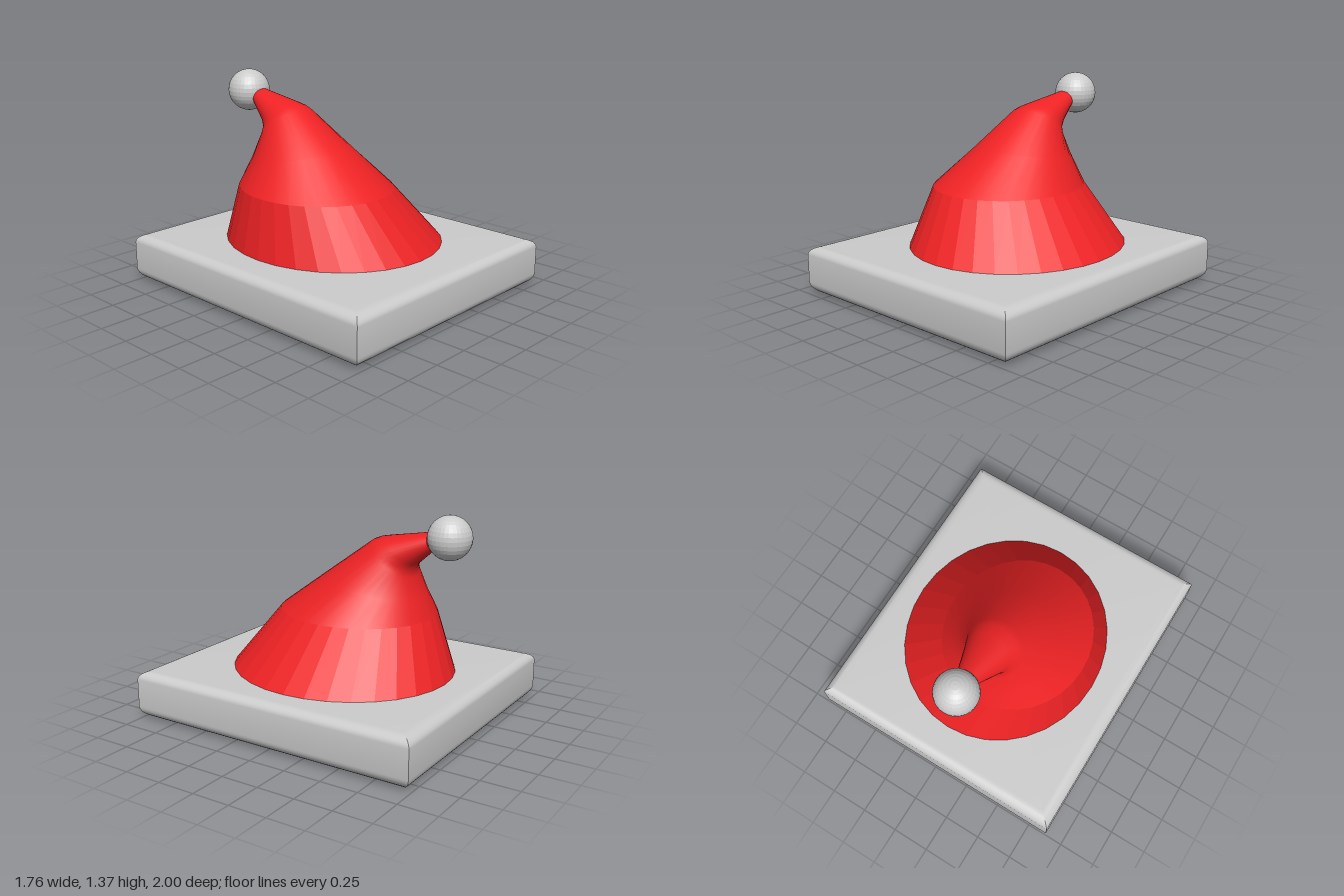
import * as THREE from 'three';
import { toCreasedNormals } from 'three/addons/utils/BufferGeometryUtils.js';

// Joins rings of points into a closed skin; optional end caps fan from the ring centres.
function loft(rings, { capStart = false, capEnd = false } = {}) {
  const n = rings[0].length;
  const pos = rings.flat().flatMap((p) => [p.x, p.y, p.z]);
  const index = [];
  for (let r = 0; r < rings.length - 1; r++) {
    for (let i = 0; i < n; i++) {
      const a = r * n + i, b = r * n + ((i + 1) % n);
      index.push(a, b, b + n, a, b + n, a + n);
    }
  }
  const cap = (r, flip) => {
    const c = new THREE.Vector3();
    rings[r].forEach((p) => c.addScaledVector(p, 1 / n));
    const ci = pos.length / 3;
    pos.push(c.x, c.y, c.z);
    for (let i = 0; i < n; i++) {
      const a = r * n + i, b = r * n + ((i + 1) % n);
      index.push(ci, flip ? b : a, flip ? a : b);
    }
  };
  if (capStart) cap(0, true);
  if (capEnd) cap(rings.length - 1, false);
  const g = new THREE.BufferGeometry();
  g.setAttribute('position', new THREE.Float32BufferAttribute(pos, 3));
  g.setIndex(index);
  g.computeVertexNormals();
  return g;
}

// Tilted ellipse through a front and a back point (z, y), with half width rx about x = cx.
function hatRing([cx, rx, zf, yf, zb, yb], sides = 32) {
  return Array.from({ length: sides }, (_, i) => {
    const t = (i / sides) * Math.PI * 2, c = Math.cos(t);
    return new THREE.Vector3(
      cx + rx * Math.sin(t),
      (yf + yb) / 2 + (c * (yf - yb)) / 2,
      (zf + zb) / 2 + (c * (zf - zb)) / 2
    );
  });
}

// Slab with rounded top and bottom rims and sharp mitred corners.
function slabGeometry(halfX, halfZ, height) {
  const rim = (inset, rise, steps = 7) => Array.from({ length: steps + 1 }, (_, i) => {
    const t = (i / steps) * Math.PI / 2;
    return [inset * (1 - Math.sin(t)), rise * (1 - Math.cos(t))];
  });
  const profile = [
    ...rim(0.12, 0.085),
    ...rim(0.08, 0.055).reverse().map(([d, y]) => [d, height - y]),
  ];
  const rings = profile.map(([d, y]) => [[-1, 1], [1, 1], [1, -1], [-1, -1]].map(
    ([sx, sz]) => new THREE.Vector3(sx * (halfX - d), y, sz * (halfZ - d))
  ));
  return toCreasedNormals(loft(rings, { capStart: true, capEnd: true }), 0.4);
}

export function createModel() {
  const model = new THREE.Group();
  const grey = new THREE.MeshStandardMaterial({ color: 0xcccccc });
  const greyFlat = new THREE.MeshStandardMaterial({ color: 0xcccccc, flatShading: true });
  const red = new THREE.MeshStandardMaterial({ color: 0xee2224, side: THREE.DoubleSide });
  const redFlat = red.clone();
  redFlat.flatShading = true;

  const add = (name, geometry, material) => {
    const mesh = new THREE.Mesh(geometry, material);
    mesh.name = name;
    model.add(mesh);
    return mesh;
  };

  add('brimSlab', slabGeometry(0.88, 1, 0.325), grey);

  // Hat sections: centre x, half width, front z and y, back z and y
  const rings = [
    [0.025, 0.68, 0.71, 0.322, -0.775, 0.322],
    [-0.095, 0.48, 0.45, 0.69, -0.6, 0.69],
    [-0.09, 0.328, 0.125, 0.93, -0.54, 0.83],
    [-0.088, 0.19, -0.2, 1.168, -0.49, 0.955],
    [-0.083, 0.168, -0.25, 1.188, -0.485, 1.0],
    [-0.08, 0.145, -0.32, 1.202, -0.51, 1.04],
    [-0.075, 0.072, -0.595, 1.252, -0.625, 1.14],
  ].map((r) => hatRing(r));
  add('hatLowerBand', loft(rings.slice(0, 2)), redFlat);
  add('hatBentCone', toCreasedNormals(loft(rings.slice(1), { capEnd: true }), 0.9), red);

  // Ball at the tip
  add('pompom', new THREE.SphereGeometry(0.14, 32, 16), greyFlat).position.set(-0.075, 1.23, -0.73);

  return model;
}
